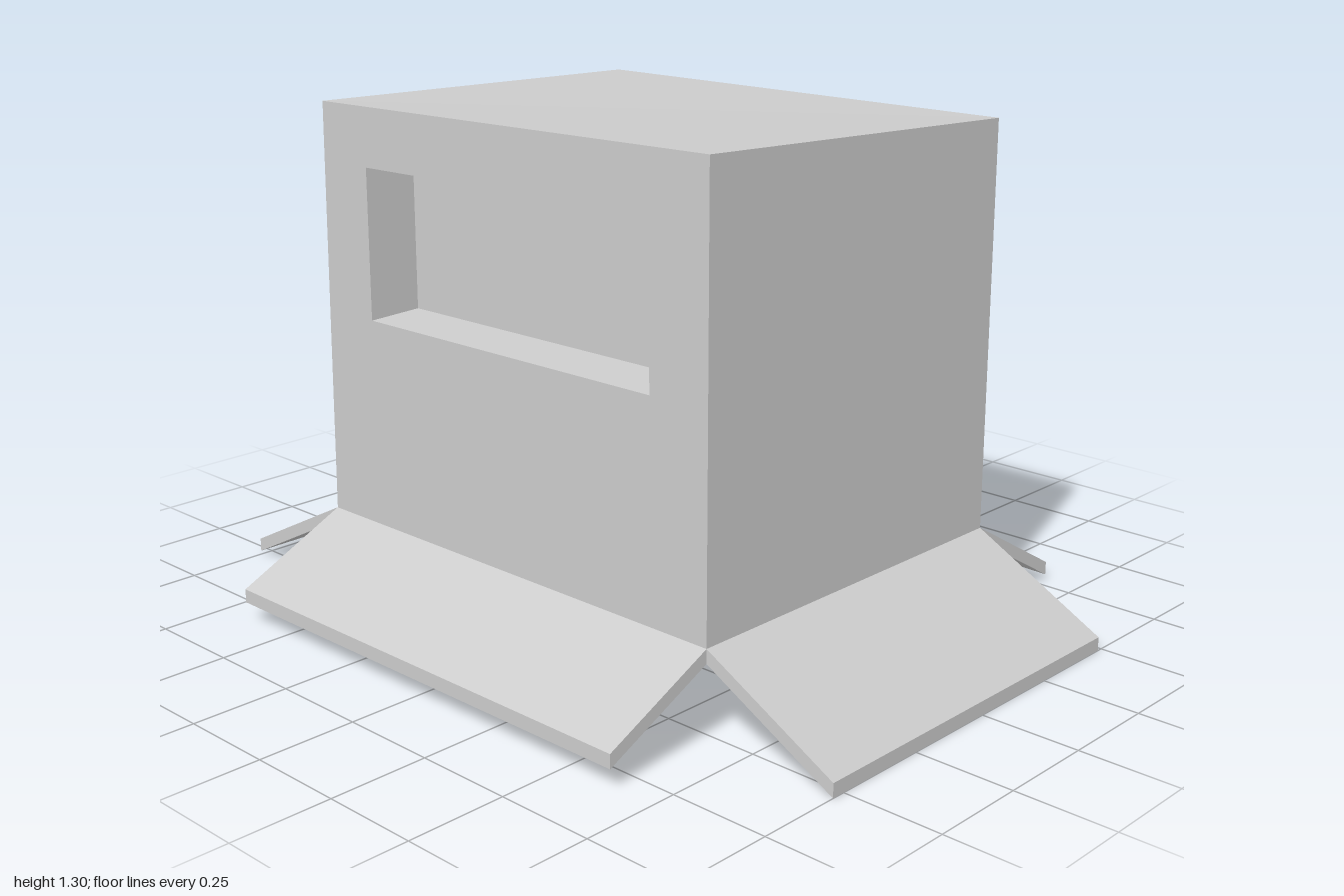
import * as THREE from 'three';

const material = new THREE.MeshStandardMaterial({ color: 0xcccccc });

// Flat-shaded mesh from four-cornered faces
function meshFromQuads(name, quads) {
  const pos = [];
  for (const [a, b, c, d] of quads) pos.push(...a, ...b, ...c, ...a, ...c, ...d);
  const geometry = new THREE.BufferGeometry();
  geometry.setAttribute('position', new THREE.Float32BufferAttribute(pos, 3));
  geometry.computeVertexNormals();
  const mesh = new THREE.Mesh(geometry, material);
  mesh.name = name;
  return mesh;
}

// Four faces joining one four-cornered loop to the next
const loft = (a, b) => a.map((p, i) => {
  const j = (i + 1) % 4;
  return [p, a[j], b[j], b[i]];
});
const flip = (loop) => [...loop].reverse();
const shift = (loop, dx, dy, dz) => loop.map(([x, y, z]) => [x + dx, y + dy, z + dz]);
const shrink = (loop, t) => loop.map(([x, y, z]) => [x - Math.sign(x) * t, y, z - Math.sign(z) * t]);

const HINGE = 0.225;
const THICK = 0.035;

// Loops run front -x, front +x, back +x, back -x
const hinge = [[-0.645, HINGE, 0.535], [0.645, HINGE, 0.535], [0.645, HINGE, -0.485], [-0.645, HINGE, -0.53]];
const top = [[-0.63, 1.28, 0.535], [0.645, 1.3, 0.535], [0.645, 1.26, -0.485], [-0.63, 1.26, -0.49]];

// Leaning box with a shallow recess underneath
function makeBody() {
  const base = shift(hinge, 0, -THICK, 0);
  const lip = shrink(base, 0.012);
  const floor = shift(lip, 0, 0.05, 0);
  const walls = loft(base, top).slice(1); // the front wall has the opening
  return meshFromQuads('boxBody', [top, ...walls, ...loft(lip, base), ...loft(floor, lip), flip(floor)]);
}

// Front wall with a sunken window
function makeFront() {
  const base = shift(hinge, 0, -THICK, 0);
  const wall = [base[0], base[1], top[1], top[0]];
  const rim = [[-0.47, 0.755, 0.535], [0.475, 0.76, 0.535], [0.475, 1.15, 0.535], [-0.47, 1.135, 0.535]];
  const back = [[-0.463, 0.762, 0.395], [0.468, 0.767, 0.395], [0.468, 1.143, 0.395], [-0.463, 1.128, 0.395]];
  const group = new THREE.Group();
  group.name = 'front';
  group.add(
    meshFromQuads('frontWall', loft(wall, rim)),
    meshFromQuads('windowRecess', [...loft(rim, back), back])
  );
  return group;
}

// Slab hanging outward from one hinge edge
function makeFlap(name, edge, outer) {
  const upper = [hinge[(edge + 1) % 4], hinge[edge], ...outer];
  const lower = shift(upper, 0, -THICK, 0);
  return meshFromQuads(name, [upper, flip(lower), ...loft(lower, upper)]);
}

export function createModel() {
  const model = new THREE.Group();
  model.name = 'upturnedBox';
  model.add(
    makeBody(),
    makeFront(),
    makeFlap('frontFlap', 0, [[-0.645, 0.085, 0.83], [0.645, 0.085, 0.83]]),
    makeFlap('leftFlap', 1, [[1, 0.035, 0.535], [1, 0.035, -0.485]]),
    makeFlap('backFlap', 2, [[0.655, 0.05, -0.785], [-0.635, 0.05, -0.835]]),
    makeFlap('rightFlap', 3, [[-1, 0.045, -0.53], [-1, 0.045, 0.535]])
  );
  return model;
}
